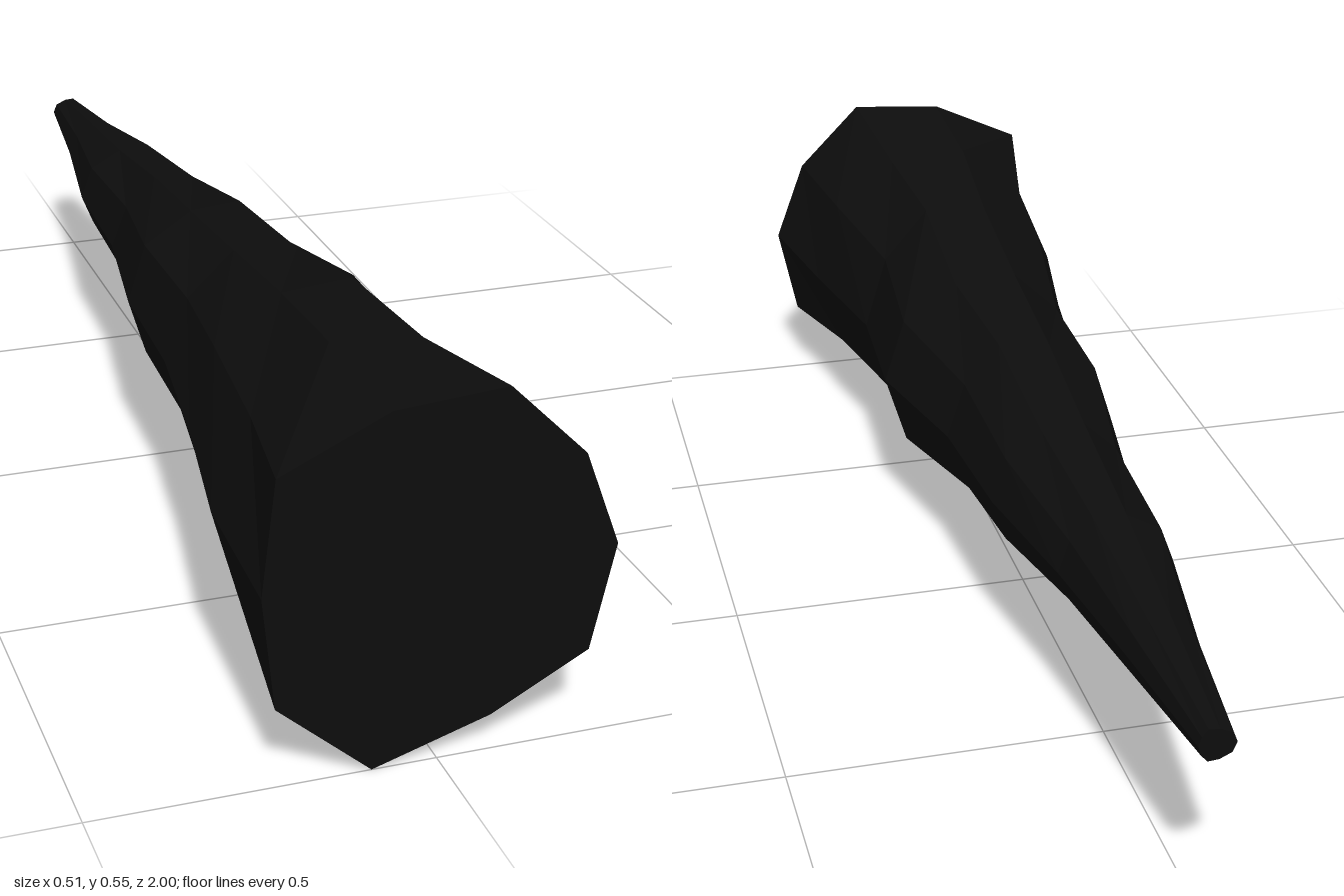
import * as THREE from 'three';

const SIDES = 10, RINGS = 8, AXIS_Y = 0.29;

// outline of the wide end: radius of each spoke, counter-clockwise from +x
const baseRadii = [0.253, 0.245, 0.271, 0.258, 0.293, 0.255, 0.29, 0.307, 0.25, 0.272];

// reach of each following ring from the axis: [right +x, top, left -x, bottom]
const reach = [
  [0.215, 0.235, 0.245, 0.215],
  [0.17, 0.215, 0.2, 0.22],
  [0.185, 0.175, 0.165, 0.19],
  [0.13, 0.157, 0.155, 0.155],
  [0.115, 0.12, 0.115, 0.11],
  [0.075, 0.09, 0.105, 0.08],
  [0.045, 0.055, 0.065, 0.05],
  [0.02, 0.025, 0.035, 0.025],
];

// position of one corner of a ring
function corner(ring, spoke) {
  const a = (spoke / SIDES) * Math.PI * 2;
  const c = Math.cos(a), s = Math.sin(a);
  if (ring === 0) return [c * baseRadii[spoke], s * baseRadii[spoke]];
  const [right, top, left, bottom] = reach[ring - 1];
  // alternate spokes are drawn in a little for a rough, chipped surface
  const rough = spoke % 5 && (ring + spoke) % 2 ? 0.95 : 1;
  const x = c * (c > 0 ? right : left) * rough;
  const y = (s * (s > 0 ? top : bottom) * rough) / Math.sin(Math.PI * 0.4);
  return [x, y];
}

export function createModel() {
  const group = new THREE.Group();
  group.name = 'spike';

  // capped tapering cylinder lying along z, wide end to the front
  const geometry = new THREE.CylinderGeometry(0.03, 0.27, 2, SIDES, RINGS, false, Math.PI / 2);
  geometry.rotateX(-Math.PI / 2);

  const p = geometry.attributes.position;
  for (let i = 0; i < p.count; i++) {
    const x = p.getX(i), y = p.getY(i), z = p.getZ(i);
    if (Math.hypot(x, y) < 1e-5) {
      p.setXYZ(i, 0, AXIS_Y, z); // centre of an end cap
      continue;
    }
    const ring = Math.round(((1 - z) / 2) * RINGS);
    const spoke = (Math.round((Math.atan2(y, x) / (Math.PI * 2)) * SIDES) + SIDES) % SIDES;
    const [nx, ny] = corner(ring, spoke);
    p.setXYZ(i, nx, ny + AXIS_Y, z);
  }
  geometry.computeVertexNormals();

  const material = new THREE.MeshStandardMaterial({ color: 0x0d0d0d, flatShading: true });
  const shaft = new THREE.Mesh(geometry, material);
  shaft.name = 'taperedShaft';
  group.add(shaft);
  return group;
}
